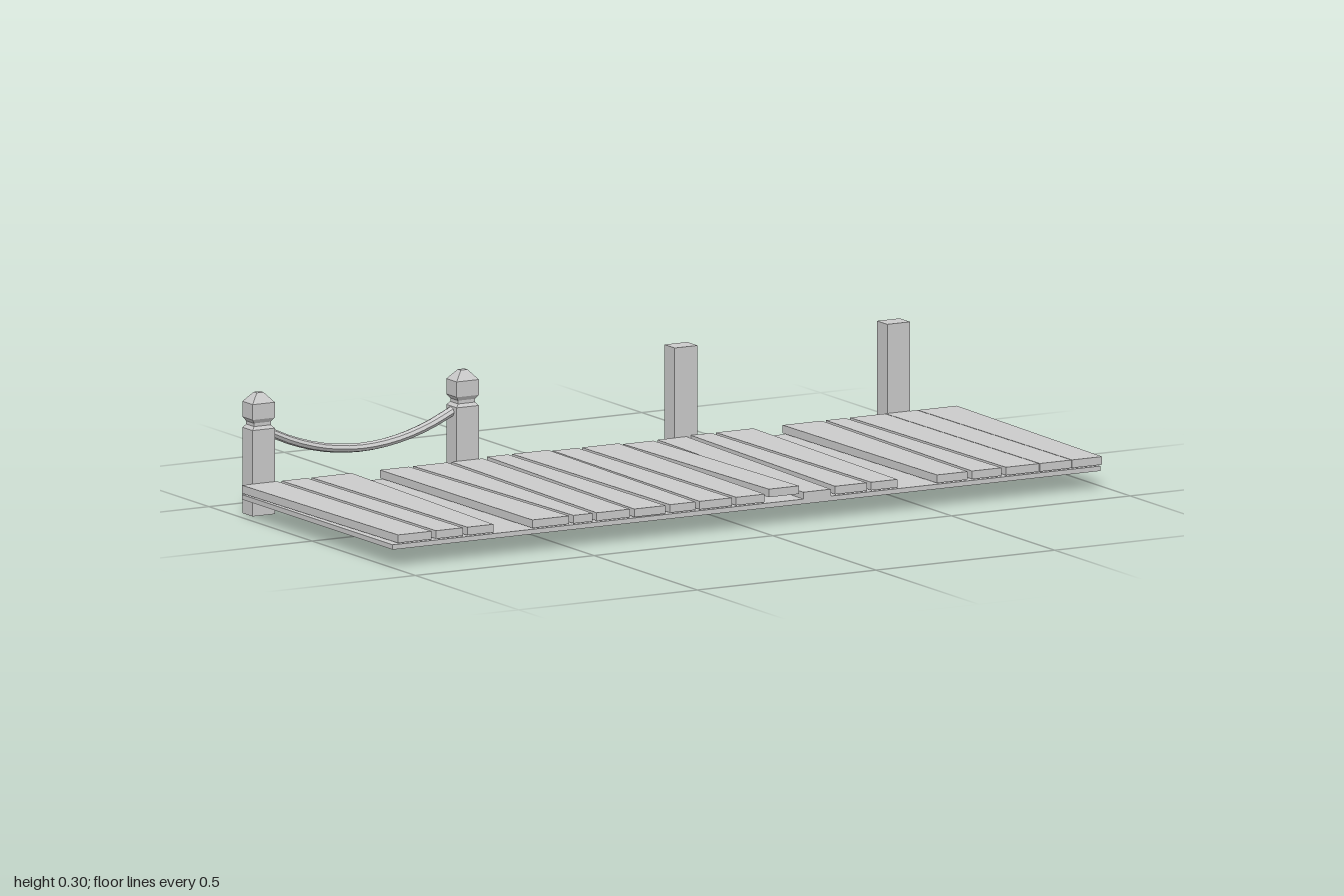
import * as THREE from 'three';

const mat = new THREE.MeshStandardMaterial({ color: 0xcccccc, flatShading: true });
const FRONT = 0.39, BACK = -0.34;

function add(parent, name, geometry, x = 0, y = 0, z = 0) {
  const mesh = new THREE.Mesh(geometry, mat);
  mesh.name = name;
  mesh.position.set(x, y, z);
  parent.add(mesh);
  return mesh;
}

// Tapered board: separate left/right edges at front and back, with optional lift at each end
function plankGeometry(front, back, liftFront, liftBack) {
  const g = new THREE.BoxGeometry(1, 1, 1);
  const p = g.attributes.position;
  for (let i = 0; i < p.count; i++) {
    const isFront = p.getZ(i) > 0;
    const edge = isFront ? front : back;
    const lift = isFront ? liftFront : liftBack;
    p.setXYZ(i, edge[p.getX(i) > 0 ? 1 : 0],
      (p.getY(i) > 0 ? 0.08 : 0.06) + lift, isFront ? FRONT : BACK);
  }
  g.computeVertexNormals();
  return g;
}

export function createModel() {
  const model = new THREE.Group();
  model.name = 'dock';

  // Base slab under the planks
  add(model, 'deckBase', new THREE.BoxGeometry(1.98, 0.012, FRONT - BACK), -0.01, 0.051, (FRONT + BACK) / 2);

  // Plank seams as [x at front, x at back]
  const seams = [
    [-0.985, -1.0], [-0.885, -0.895], [-0.797, -0.812], [-0.712, -0.687], [-0.615, -0.62],
    [-0.5, -0.527], [-0.435, -0.42], [-0.33, -0.32], [-0.23, -0.25], [-0.147, -0.137],
    [-0.045, -0.055], [0.047, 0.06], [0.143, 0.157], [0.232, 0.25], [0.333, 0.32],
    [0.418, 0.437], [0.517, 0.507], [0.615, 0.628], [0.71, 0.695], [0.81, 0.8],
    [0.9, 0.89], [0.985, 1.0],
  ];
  const missing = [3, 15];
  const lifts = { 8: [0, 0.003], 7: [-0.001, 0.003], 11: [0.011, -0.003], 12: [-0.006, -0.002] };
  const planks = new THREE.Group();
  planks.name = 'planks';
  model.add(planks);
  for (let i = 0; i < seams.length - 1; i++) {
    if (missing.includes(i)) continue;
    const a = seams[i], b = seams[i + 1];
    const l = i === 0 ? 0 : i > 18 ? 0.001 : 0.006;
    const r = i === seams.length - 2 ? 0 : i > 17 ? 0.001 : 0.006;
    const [lf, lb] = lifts[i] || [0, 0];
    add(planks, 'plank', plankGeometry([a[0] + l, b[0] - r], [a[1] + l, b[1] - r], lf, lb));
  }

  // Plain posts along the back edge
  const postZ = -0.365;
  for (const x of [0.243, 0.838]) {
    add(model, 'plainPost', new THREE.BoxGeometry(0.064, 0.3, 0.05), x, 0.15, postZ);
  }

  // Posts with a notched neck and pointed cap: [half width factor, height]
  const profile = [[0, 0], [1, 0], [1, 0.212], [0.76, 0.22], [0.76, 0.228], [1, 0.238], [1, 0.276], [0.3, 0.3], [0, 0.3]]
    .map(([w, y]) => new THREE.Vector2(w * Math.SQRT2, y));
  for (const x of [-0.939, -0.368]) {
    const g = new THREE.LatheGeometry(profile, 4).rotateY(Math.PI / 4).scale(0.031, 1, 0.025);
    add(model, 'cappedPost', g.toNonIndexed(), x, 0, postZ);
  }

  // Rope sagging between the capped posts
  const points = [];
  for (let i = 0; i <= 8; i++) {
    const t = i / 4 - 1;
    points.push(new THREE.Vector3(-0.6535 + t * 0.265, 0.135 + 0.068 * t * t, 0));
  }
  const rope = new THREE.TubeGeometry(new THREE.CatmullRomCurve3(points), 16, 0.011, 8);
  add(model, 'rope', rope.scale(1, 1, 1.4), 0, 0, -0.368);

  return model;
}
